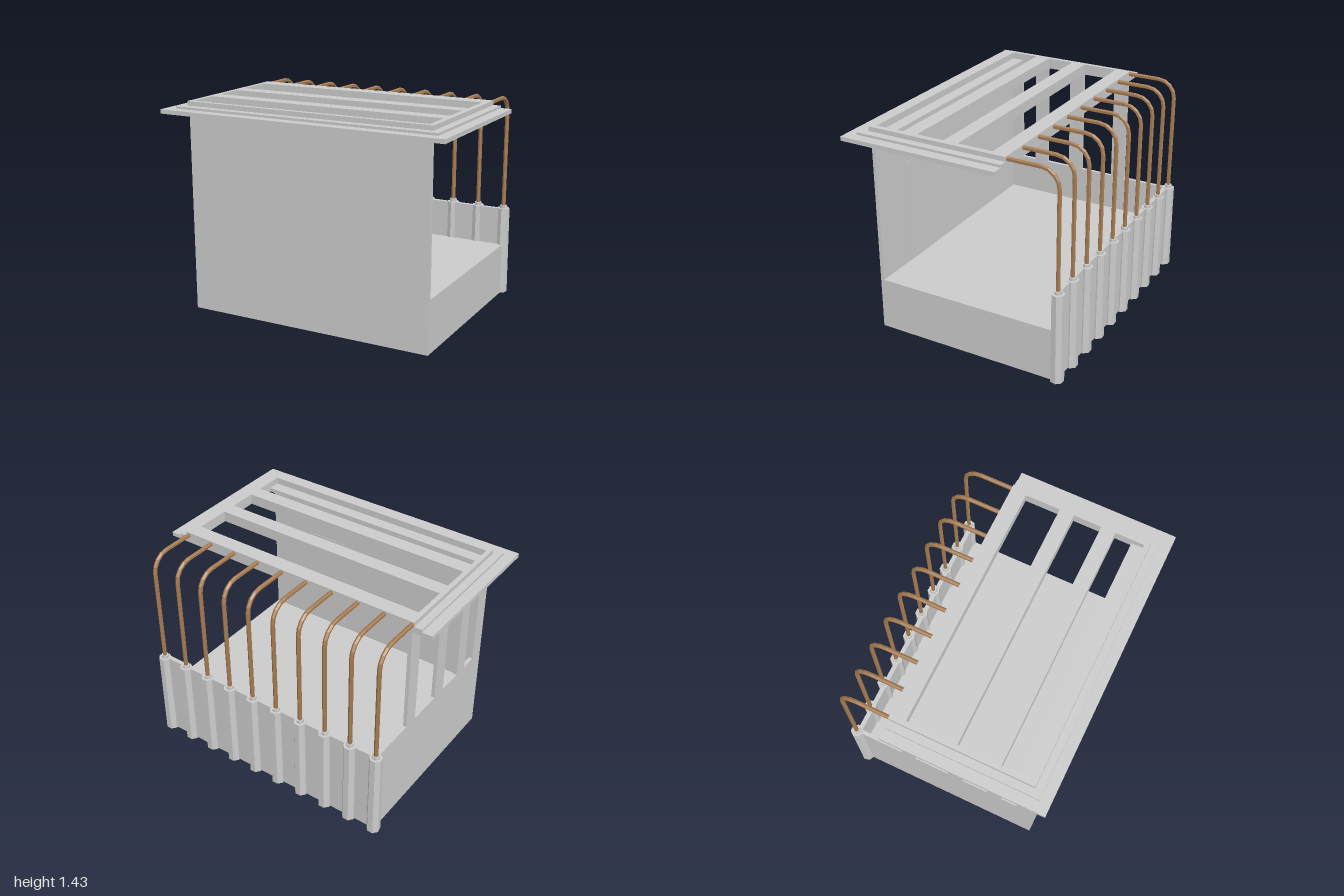
import * as THREE from 'three';
import { mergeGeometries } from 'three/addons/utils/BufferGeometryUtils.js';

const grey = new THREE.MeshStandardMaterial({ color: 0xcccccc, flatShading: true });
const copper = new THREE.MeshStandardMaterial({ color: 0xa67c52, flatShading: true });

export function createModel() {
  const group = new THREE.Group();

  const add = (name, geometry, material = grey) => {
    const mesh = new THREE.Mesh(geometry, material);
    mesh.name = name;
    group.add(mesh);
    return mesh;
  };

  // Box given by its lower and upper limits on each axis
  const box = (name, x0, x1, y0, y1, z0, z1) =>
    add(name, new THREE.BoxGeometry(x1 - x0, y1 - y0, z1 - z0)
      .translate((x0 + x1) / 2, (y0 + y1) / 2, (z0 + z1) / 2));

  const W = 0.865; // half width of the room
  const wallTop = 1.36, parapet = 0.617, floorTop = 0.357;

  // Walls, with the left side open above the floor
  box('frontWall', -W, W, 0, wallTop, 0.58, 0.605);
  box('door', 0.24, 0.56, floorTop, 1.08, 0.577, 0.58);
  box('floor', -W + 0.025, W, floorTop - 0.008, floorTop, -0.665, 0.58);
  box('leftSkirt', W - 0.008, W, 0, floorTop - 0.008, -0.665, 0.58);
  box('backWall', -W, W, 0, parapet, -0.695, -0.665);
  box('rightLowWall', -W, -W + 0.025, 0, parapet, -0.665, 0.58);

  // Pillars between the right-hand windows
  for (const [z0, z1] of [[-0.352, -0.25], [-0.007, 0.1], [0.283, 0.384], [0.498, 0.58]])
    box('windowPillar', -W, -W + 0.025, parapet, wallTop, z0, z1);

  // Stepped roof with three long skylights; the lowest step leaves a ledge in front
  const roofStep = (halfWidth, zFront, y0, y1, lastOpening) => {
    const rect = (Type, x0, x1, z0, z1) => new Type(
      [[x0, -z0], [x0, -z1], [x1, -z1], [x1, -z0]].map(p => new THREE.Vector2(...p)));
    const shape = rect(THREE.Shape, -halfWidth, halfWidth, -0.355, zFront);
    for (const [z0, z1] of [[-0.25, -0.01], [0.09, 0.28], [0.38, lastOpening]])
      shape.holes.push(rect(THREE.Path, -0.843, 0.837, z0, z1));
    const slab = new THREE.ExtrudeGeometry(shape, { depth: y1 - y0, bevelEnabled: false });
    add('roofStep', slab.rotateX(-Math.PI / 2).translate(0, y0, 0));
  };
  roofStep(1, 0.735, wallTop, 1.388, 0.495);
  roofStep(0.928, 0.665, 1.388, 1.404, 0.577);
  roofStep(0.875, 0.612, 1.404, 1.434, 0.577);

  // Bent pipe: upright, quarter bend and run into the roof
  const r = 0.0145, bend = 0.12, pipeZ = -0.695, bendY = 1.295;
  const pipe = mergeGeometries([
    new THREE.CylinderGeometry(r, r, bendY - 0.63, 6).translate(0, (bendY + 0.63) / 2, pipeZ),
    new THREE.TorusGeometry(bend, r, 6, 4, Math.PI / 2)
      .rotateY(Math.PI / 2).translate(0, bendY, pipeZ + bend),
    new THREE.CylinderGeometry(r, r, 0.225, 6)
      .rotateX(Math.PI / 2).translate(0, bendY + bend, pipeZ + bend + 0.1125),
  ]);
  const post = new THREE.CylinderGeometry(0.043, 0.046, parapet + 0.002, 7)
    .translate(0, (parapet + 0.002) / 2, pipeZ);
  const collar = new THREE.CylinderGeometry(0.025, 0.025, 0.022, 7)
    .translate(0, 0.628, pipeZ);

  // Row of ten posts along the back, each carrying a pipe
  for (let i = 0; i < 10; i++) {
    const x = -0.861 + i * 0.1904;
    add('post', post).position.x = x;
    add('collar', collar).position.x = x;
    add('pipe', pipe, copper).position.x = x;
  }

  return group;
}
